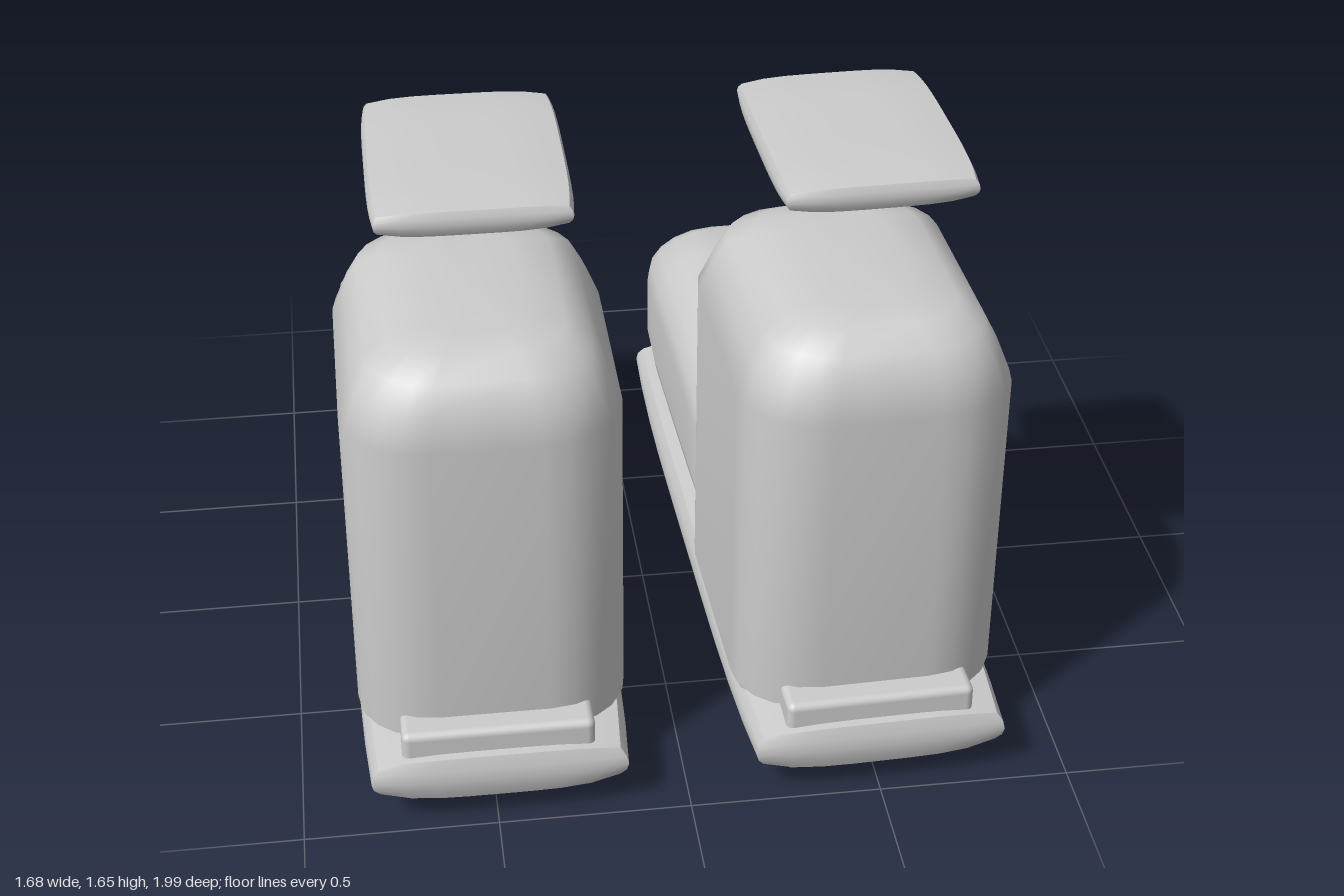
import * as THREE from 'three';
import { RoundedBoxGeometry } from 'three/addons/geometries/RoundedBoxGeometry.js';

const lightGrey = new THREE.MeshStandardMaterial({ color: 0xcccccc });

// Smooth pillow: rounded-rectangle rings [height, halfX, halfZ, centreZ], lofted along y and capped
function pillow(rings, cornerX, cornerZ) {
  const seg = 5, n = 4 * (seg + 1), pos = [], idx = [];
  for (const [y, a, b, cz] of rings) {
    for (let q = 0; q < 4; q++) {
      const mid = (q + 0.5) * Math.PI / 2;
      const sx = Math.sign(Math.cos(mid)), sz = Math.sign(Math.sin(mid));
      for (let k = 0; k <= seg; k++) {
        const t = (q + k / seg) * Math.PI / 2;
        pos.push(a * (sx * (1 - cornerX) + cornerX * Math.cos(t)), y,
          cz + b * (sz * (1 - cornerZ) + cornerZ * Math.sin(t)));
      }
    }
  }
  const last = rings.length - 1;
  for (let r = 0; r < last; r++) {
    for (let i = 0; i < n; i++) {
      const j = (i + 1) % n, l = r * n, u = l + n;
      idx.push(l + i, u + i, l + j, l + j, u + i, u + j);
    }
  }
  const bottom = pos.length / 3, top = bottom + 1;
  pos.push(0, rings[0][0], rings[0][3], 0, rings[last][0], rings[last][3]);
  for (let i = 0; i < n; i++) {
    const j = (i + 1) % n;
    idx.push(bottom, i, j, top, last * n + j, last * n + i);
  }
  const g = new THREE.BufferGeometry();
  g.setAttribute('position', new THREE.Float32BufferAttribute(pos, 3));
  g.setIndex(idx);
  g.computeVertexNormals();
  return g;
}

// Box with gently bulging faces and sharp edges
function bulgedSlab(w, h, d, insetX, insetY, insetZ) {
  const g = new THREE.BoxGeometry(w, h, d, 8, 4, 12), p = g.attributes.position;
  for (let i = 0; i < p.count; i++) {
    const u = p.getX(i) * 2 / w, v = p.getY(i) * 2 / h, s = p.getZ(i) * 2 / d;
    const u4 = u ** 4, s4 = s ** 4, v2 = v * v;
    p.setXYZ(i,
      u * (w / 2 - insetX * (v2 + s4) / 2),
      v * (h / 2 - insetY * (u4 + s4) / 2),
      s * (d / 2 - insetZ * (v2 + u4) / 2));
  }
  g.computeVertexNormals();
  return g;
}

function part(parent, name, geometry, x = 0, y = 0, z = 0) {
  const m = new THREE.Mesh(geometry, lightGrey);
  m.name = name;
  m.position.set(x, y, z);
  parent.add(m);
}

function makeBoot(name) {
  const boot = new THREE.Group();
  boot.name = name;

  // Shaft: end rounding [distance from end, inset x, inset z], mirrored top and bottom
  const ends = [[0, 0.23, 0.2], [0.015, 0.13, 0.13], [0.055, 0.068, 0.062], [0.12, 0.035, 0.03], [0.21, 0, 0]];
  const low = ends.map(([y, ix, iz]) => [y, 0.35 - ix, 0.448 - iz, 0.44]);
  const high = low.map(([y, a, b, c]) => [1.29 - y, a, b, c]).reverse();
  part(boot, 'shaft', pillow([...low, ...high], 0.6, 0.42));

  // Toe: [z, half width, bottom, top]
  const toe = [[0.25, 0.34, 0.25, 0.74], [0, 0.345, 0.245, 0.768], [-0.3, 0.347, 0.245, 0.782],
    [-0.55, 0.347, 0.25, 0.77], [-0.7, 0.34, 0.26, 0.755], [-0.8, 0.318, 0.295, 0.705],
    [-0.87, 0.285, 0.33, 0.66], [-0.92, 0.22, 0.38, 0.59], [-0.938, 0.13, 0.43, 0.54]]
    .map(([z, a, b, t]) => [-z, a, (t - b) / 2, (t + b) / 2]);
  part(boot, 'toe', pillow(toe, 0.6, 0.65).rotateX(-Math.PI / 2));

  // Sole, heel tab and the floating lid above the shaft
  part(boot, 'sole', bulgedSlab(0.7, 0.168, 1.985, 0.04, 0.04, 0.03), 0, 0.141, 0);
  part(boot, 'heelTab', new RoundedBoxGeometry(0.495, 0.215, 0.12, 2, 0.02), 0, 0.1625, 0.895);
  part(boot, 'lid', bulgedSlab(0.495, 0.082, 0.64, 0.02, 0.018, 0.02), 0, 1.605, 0.395);
  return boot;
}

export function createModel() {
  const model = new THREE.Group();
  model.name = 'pairOfBoots';
  const right = makeBoot('rightBoot');
  right.position.x = -0.49;
  // The left boot is turned slightly
  const left = makeBoot('leftBoot');
  left.position.x = 0.468;
  left.rotation.y = 0.035;
  model.add(right, left);
  return model;
}
